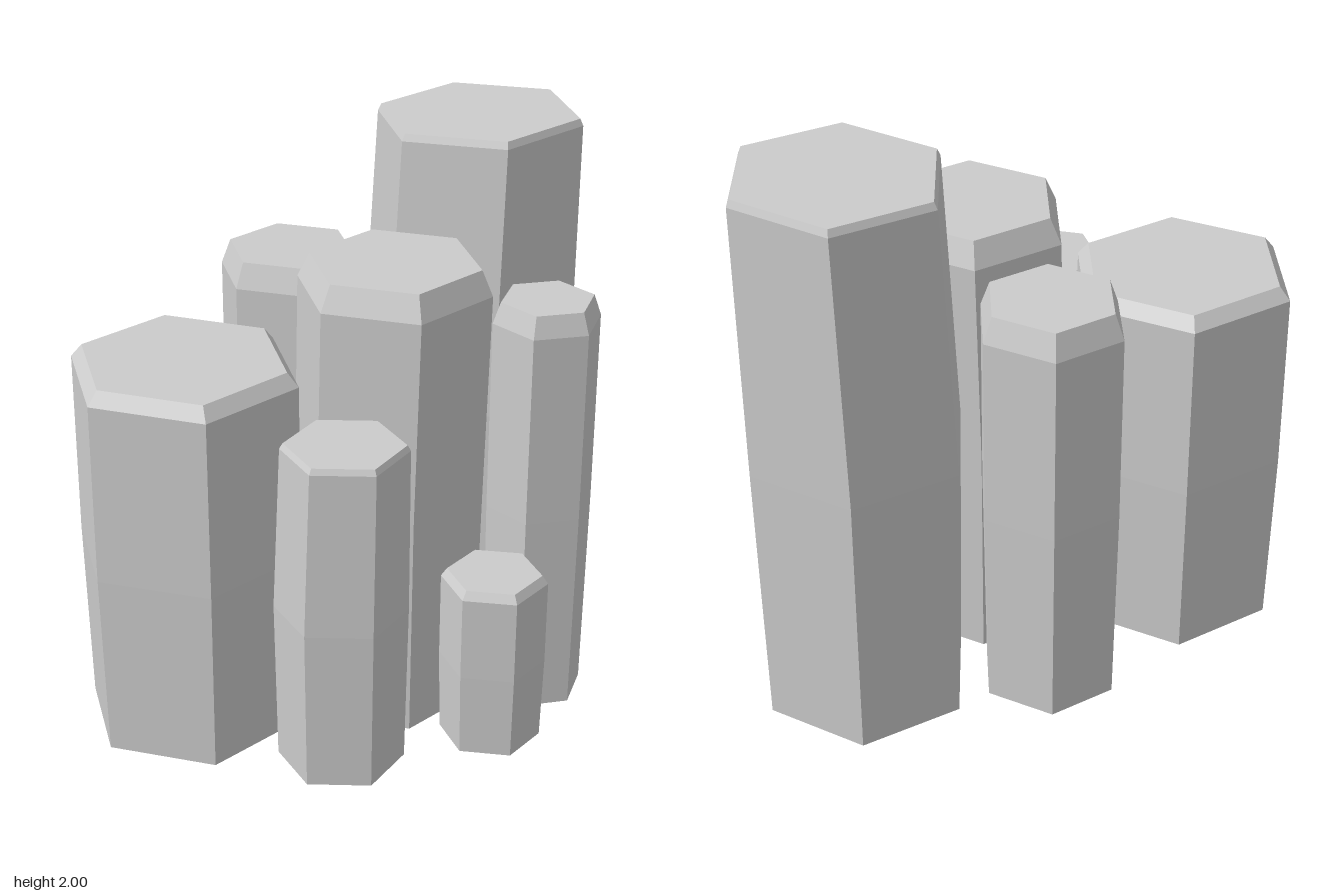
import * as THREE from 'three';

const material = new THREE.MeshStandardMaterial({ color: 0xcccccc, flatShading: true });

// One six-sided column: narrower foot, full waist, bevelled cap.
// angle: turn of the corners in degrees; neck and cap: radius factors at the bevel;
// lean: sideways drift of the upper half; tilt: slope of the bevel and cap.
function column(name, { x, z, radius, angle, foot = 0.022, bevel, top, neck = 1, cap = 0.89, lean = 0, tilt = 0 }) {
  const profile = [
    new THREE.Vector2(0, foot),
    new THREE.Vector2(radius * 0.96, foot),
    new THREE.Vector2(radius, top / 2),
    new THREE.Vector2(radius * neck, bevel),
    new THREE.Vector2(radius * cap, top),
    new THREE.Vector2(0, top),
  ];
  const lathe = new THREE.LatheGeometry(profile, 6);
  lathe.rotateY(THREE.MathUtils.degToRad(30 - angle));

  const geometry = lathe.toNonIndexed();
  const p = geometry.attributes.position;
  for (let i = 0; i < p.count; i++) {
    const px = p.getX(i), py = p.getY(i), pz = p.getZ(i);
    const drift = lean * Math.max(0, (2 * py) / top - 1);
    const slope = py > bevel - 0.001 ? tilt * (px + pz) : 0;
    p.setXYZ(i, px + drift, py + slope, pz);
  }
  geometry.computeVertexNormals();

  const mesh = new THREE.Mesh(geometry, material);
  mesh.name = name;
  mesh.position.set(x, 0, z);
  return mesh;
}

export function createModel() {
  const group = new THREE.Group();
  group.name = 'stoneColumns';
  group.add(
    // Back row
    column('tallColumn', {
      x: 0.56, z: -0.368, radius: 0.393, angle: 32, foot: 0, bevel: 1.967, top: 1.992,
      neck: 0.94, cap: 0.91, lean: 0.03, tilt: 0.017,
    }),
    column('backColumn', { x: -0.082, z: -0.388, radius: 0.26, angle: 30, bevel: 1.455, top: 1.545, cap: 0.87 }),
    // Middle row
    column('leftColumn', { x: -0.562, z: 0.11, radius: 0.4, angle: 30, bevel: 1.335, top: 1.383, cap: 0.9, tilt: -0.012 }),
    column('centreColumn', {
      x: 0.145, z: 0.1, radius: 0.338, angle: 30, foot: 0.01, bevel: 1.565, top: 1.655, cap: 0.88, lean: 0.017,
    }),
    column('rightColumn', { x: 0.653, z: 0.245, radius: 0.189, angle: 2, bevel: 1.455, top: 1.53, cap: 0.86 }),
    // Front row
    column('frontLeftColumn', {
      x: -0.127, z: 0.526, radius: 0.226, angle: 16, bevel: 1.195, top: 1.215, neck: 0.94, lean: 0.013,
    }),
    column('shortColumn', { x: 0.409, z: 0.519, radius: 0.182, angle: 23, foot: 0.03, bevel: 0.635, top: 0.665 }),
  );
  return group;
}
